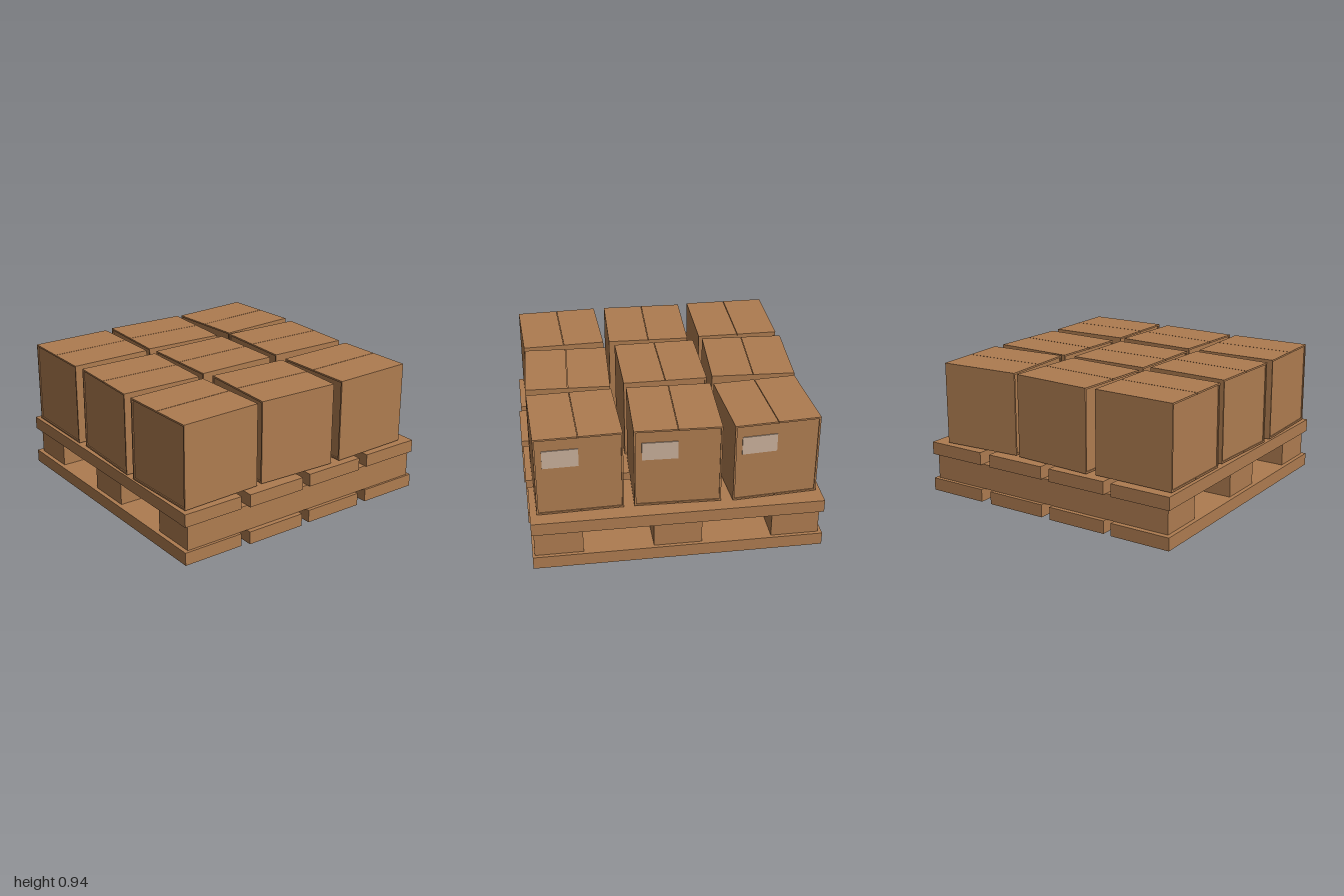
import * as THREE from 'three';

export function createModel() {
  const model = new THREE.Group();
  model.name = 'loadedPallet';
  const brown = new THREE.MeshStandardMaterial({ name: 'cardboardBrown', color: 0xae7c50 });
  const pale = new THREE.MeshStandardMaterial({ name: 'labelBeige', color: 0xc8af9a });

  // Box given by its min and max corners
  const block = (parent, name, a, b, material = brown) => {
    const size = a.map((v, i) => b[i] - v);
    const mesh = new THREE.Mesh(new THREE.BoxGeometry(...size), material);
    mesh.position.set(...a.map((v, i) => (v + b[i]) / 2));
    mesh.name = name;
    parent.add(mesh);
    return mesh;
  };

  // Pallet: two layers of boards along z, three stringers along x
  const pallet = new THREE.Group();
  pallet.name = 'pallet';
  model.add(pallet);
  const boards = [
    [-0.99, -0.55, -1.0, 0.985],
    [-0.49, -0.05, -0.995, 1.0],
    [0.02, 0.465, -0.99, 0.99],
    [0.545, 0.985, -0.99, 0.98],
  ];
  for (const [x0, x1, z0, z1] of boards) {
    block(pallet, 'bottomBoard', [x0, 0, z0], [x1, 0.09, z1]);
    block(pallet, 'topBoard', [x0, 0.27, z0], [x1, 0.36, z1]);
  }
  for (const z of [-0.8, 0.002, 0.802]) {
    block(pallet, 'stringer', [-0.96, 0.09, z - 0.163], [0.96, 0.27, z + 0.163]);
  }

  // Carton: recessed side walls, front and back panels, paired flaps, side label
  const H = 0.29, T = 0.012, R = 0.282, Y0 = 0.367, Y1 = 0.945, SEAM = 0.002;
  const makeCarton = () => {
    const carton = new THREE.Group();
    carton.name = 'carton';
    block(carton, 'cartonBody', [-R, Y0 + 0.006, -H + 0.006], [R, Y1 - 0.006, H - 0.006]);
    for (const s of [-1, 1]) {
      const [p0, p1] = s > 0 ? [H - T, H] : [-H, -H + T];
      block(carton, s > 0 ? 'frontPanel' : 'backPanel', [-H, Y0 + T, p0], [H, Y1 - T, p1]);
      const [f0, f1] = s > 0 ? [SEAM, H] : [-H, -SEAM];
      block(carton, 'topFlap', [-H, Y1 - T, f0], [H, Y1, f1]);
      block(carton, 'bottomFlap', [-H, Y0, f0], [H, Y0 + T, f1]);
    }
    block(carton, 'label', [R, 0.722, 0.0], [R + 0.006, 0.852, 0.238], pale);
    return carton;
  };

  // Nine cartons, each set down a little askew: x, z, turn
  const places = [
    [-0.683, -0.65, -0.008], [-0.053, -0.65, -0.054], [0.595, -0.645, 0.069],
    [-0.683, 0.01, -0.035], [-0.055, -0.015, 0], [0.595, -0.015, -0.033],
    [-0.685, 0.651, 0.03], [-0.04, 0.648, -0.044], [0.594, 0.651, 0.026],
  ];
  for (const [x, z, turn] of places) {
    const carton = makeCarton();
    carton.position.set(x, 0, z);
    carton.rotation.y = turn;
    model.add(carton);
  }
  return model;
}
